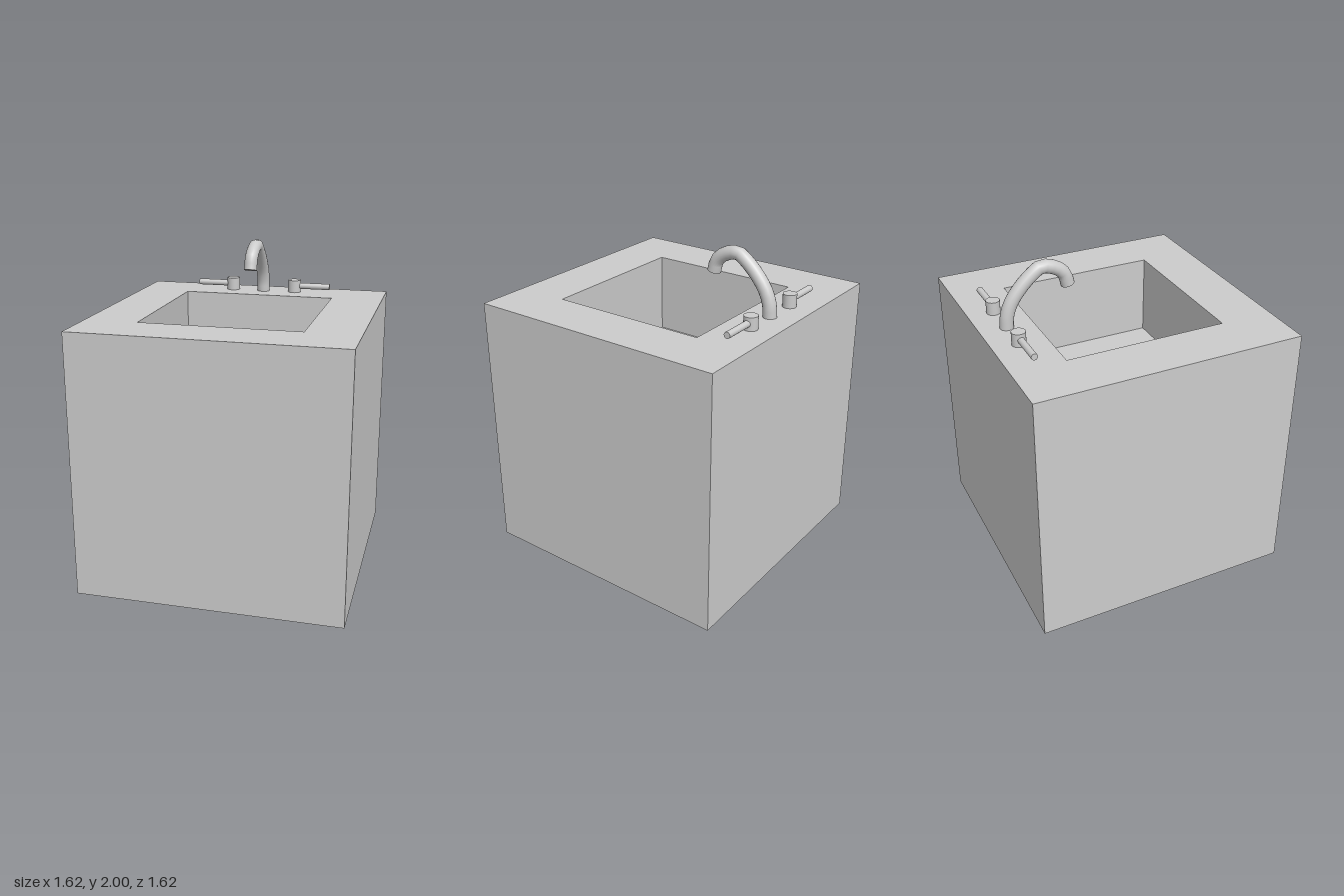
import * as THREE from 'three';

const grey = new THREE.MeshStandardMaterial({ color: 0xcccccc });
const SIDE = 1.624, TOP = 1.624;      // cabinet cube
const BASIN = 0.976, DEPTH = 0.505;   // square basin
const TAP_Z = -0.655;

function addMesh(parent, name, geometry, x = 0, y = 0, z = 0) {
  const mesh = new THREE.Mesh(geometry, grey);
  mesh.name = name;
  mesh.position.set(x, y, z);
  parent.add(mesh);
  return mesh;
}

// Box without its top face; inward = true turns the faces to the inside
function openBox(width, height, inward) {
  const box = new THREE.BoxGeometry(width, height, width);
  const index = Array.from(box.index.array);
  index.splice(12, 6);
  if (inward) index.reverse();
  box.setIndex(index);
  const geometry = box.toNonIndexed();
  geometry.computeVertexNormals();
  return geometry;
}

function square(Type, size) {
  const h = size / 2;
  return new Type([[-h, -h], [h, -h], [h, h], [-h, h]].map(([x, y]) => new THREE.Vector2(x, y)));
}

export function createModel() {
  const model = new THREE.Group();
  model.name = 'sink';

  // Cabinet walls, countertop with a square opening, and the sunken basin
  addMesh(model, 'cabinet', openBox(SIDE, TOP, false), 0, TOP / 2, 0);
  const rim = square(THREE.Shape, SIDE);
  rim.holes.push(square(THREE.Path, BASIN));
  addMesh(model, 'countertop', new THREE.ShapeGeometry(rim).rotateX(-Math.PI / 2), 0, TOP, 0);
  addMesh(model, 'basin', openBox(BASIN, DEPTH, true), 0, TOP - DEPTH / 2, 0);

  // Curved spout, given as [z, y] along its centre line
  const spout = new THREE.Group();
  spout.name = 'spout';
  model.add(spout);
  const path = new THREE.CatmullRomCurve3([
    [-0.65, 1.62], [-0.645, 1.69], [-0.617, 1.77], [-0.553, 1.857], [-0.48, 1.925],
    [-0.425, 1.958], [-0.342, 1.938], [-0.285, 1.89], [-0.266, 1.822],
  ].map(([z, y]) => new THREE.Vector3(0, y, z)));
  const radius = 0.041;
  addMesh(spout, 'spoutTube', new THREE.TubeGeometry(path, 16, radius, 20));
  const end = path.getPointAt(1);
  const tip = addMesh(spout, 'spoutTip', new THREE.CircleGeometry(radius, 20), end.x, end.y, end.z);
  tip.quaternion.setFromUnitVectors(new THREE.Vector3(0, 0, 1), path.getTangentAt(1));

  // Pair of valves, each with a lever pointing outwards
  for (const [side, name] of [[1, 'left'], [-1, 'right']]) {
    const handle = new THREE.Group();
    handle.name = name + 'Handle';
    handle.position.set(side * 0.211, TOP, TAP_Z);
    model.add(handle);
    addMesh(handle, name + 'Valve', new THREE.CylinderGeometry(0.042, 0.042, 0.08, 24), 0, 0.04, 0);
    const lever = new THREE.CylinderGeometry(0.02, 0.02, 0.238, 20).rotateZ(Math.PI / 2);
    addMesh(handle, name + 'Lever', lever, side * 0.119, 0.041, 0);
  }
  return model;
}
